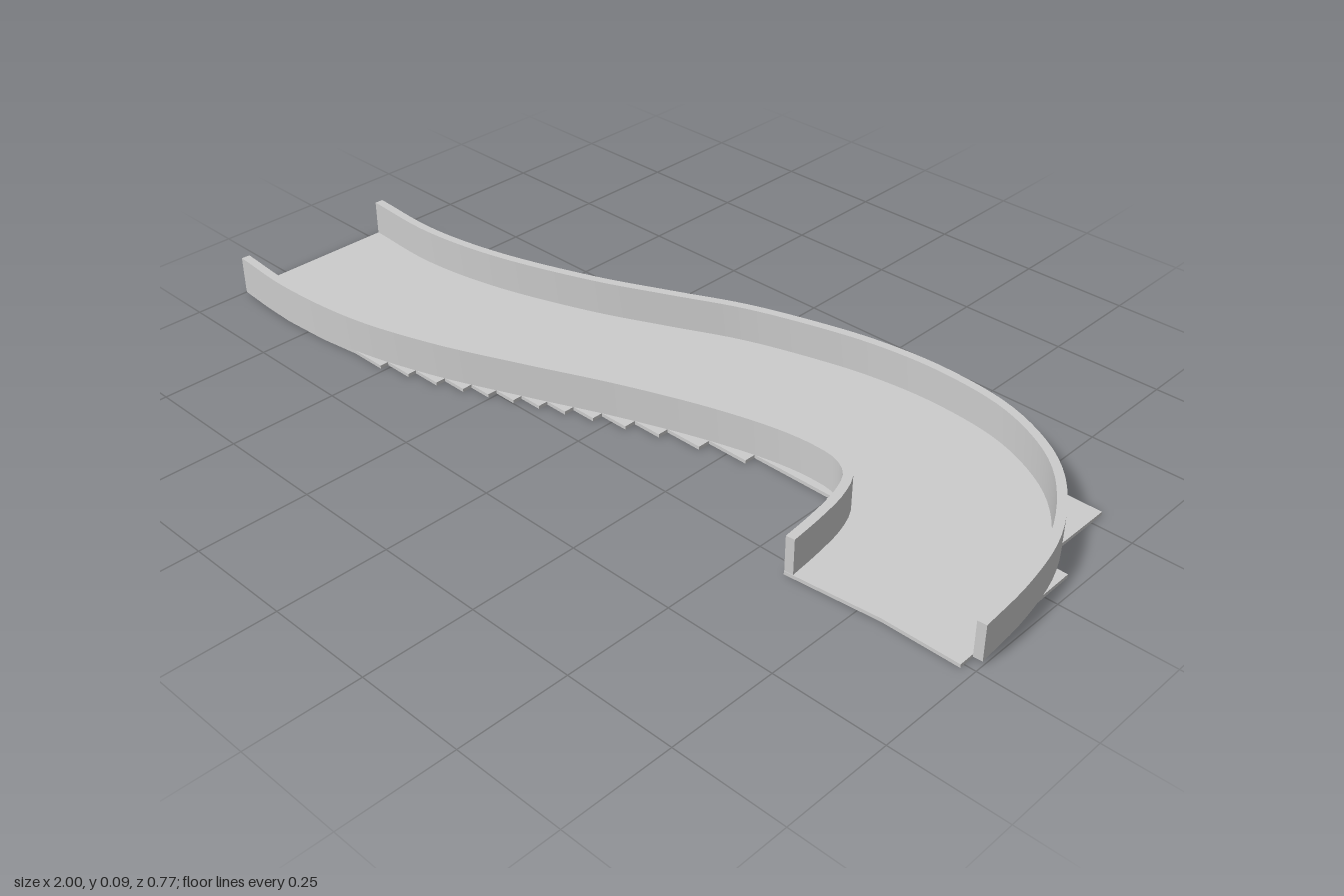
import * as THREE from 'three';
import { toCreasedNormals } from 'three/addons/utils/BufferGeometryUtils.js';

const FLOOR_TOP = 0.008, WALL_TOP = 0.09, HALF = 0.01;

// Centre lines of the two guard walls, as [x, z]
const BACK = [[-1, -0.03], [-0.8, -0.022], [-0.6, -0.052], [-0.35, -0.132], [-0.18, -0.207], [-0.02, -0.28],
  [0.15, -0.333], [0.28, -0.362], [0.44, -0.375], [0.62, -0.355], [0.75, -0.3], [0.83, -0.238],
  [0.9, -0.145], [0.947, -0.045], [0.976, 0.09], [0.988, 0.23]];
const FRONT = [[-1, 0.36], [-0.82, 0.37], [-0.6, 0.35], [-0.4, 0.295], [-0.2, 0.215], [0, 0.13],
  [0.2, 0.059], [0.35, 0.022], [0.44, 0.014], [0.5, 0.021], [0.545, 0.05], [0.572, 0.11], [0.587, 0.19], [0.597, 0.28]];

const smooth = (pts, n) =>
  new THREE.CatmullRomCurve3(pts.map(([x, z]) => new THREE.Vector3(x, 0, z))).getSpacedPoints(n);

// Shift a path sideways in the ground plane
function offset(path, d) {
  return path.map((p, i) => {
    const t = path[Math.min(i + 1, path.length - 1)].clone().sub(path[Math.max(i - 1, 0)]).normalize();
    return new THREE.Vector2(p.x - t.z * d, p.z + t.x * d);
  });
}

// Raise a plan outline (x, z) from one height to another
function raise(outline, y0, y1) {
  const shape = new THREE.Shape(outline.map(p => new THREE.Vector2(p.x, -p.y)));
  const geo = new THREE.ExtrudeGeometry(shape, { depth: y1 - y0, bevelEnabled: false });
  geo.rotateX(-Math.PI / 2).translate(0, y0, 0);
  return toCreasedNormals(geo, 0.5);
}

// Height of a plan edge at a given x
function zAt(edge, x) {
  for (let i = 1; i < edge.length; i++) {
    const a = edge[i - 1], b = edge[i];
    if (x <= b.x) return a.y + (b.y - a.y) * THREE.MathUtils.clamp((x - a.x) / (b.x - a.x), 0, 1);
  }
  return edge[edge.length - 1].y;
}

// Stepped edge through the x stops; pick chooses the outermost end of each step
function steps(edge, stops, pick) {
  const out = [];
  for (let i = 1; i < stops.length; i++) {
    const z = pick(zAt(edge, stops[i - 1]), zAt(edge, stops[i]));
    out.push(new THREE.Vector2(stops[i - 1], z), new THREE.Vector2(stops[i], z));
  }
  return out;
}

export function createModel() {
  const group = new THREE.Group();
  const material = new THREE.MeshStandardMaterial({ color: 0xcccccc });
  const add = (name, geo) => {
    const mesh = new THREE.Mesh(geo, material);
    mesh.name = name;
    group.add(mesh);
  };

  // Curved guard walls
  const back = smooth(BACK, 80), front = smooth(FRONT, 80);
  for (const [name, path] of [['backWall', back], ['frontWall', front]]) {
    const outline = [...offset(path, HALF), ...offset(path, -HALF).reverse()];
    add(name, raise(outline, FLOOR_TOP, WALL_TOP));
  }

  // Thin floor with stepped edges under the walls
  const v = (x, z) => new THREE.Vector2(x, z);
  const backStops = [-0.625, -0.51, -0.445, -0.35, -0.29, -0.235, -0.18, -0.125, -0.07, -0.015, 0.055, 0.15, 0.26, 0.44];
  const frontStops = [-0.6, -0.51, -0.44, -0.37, -0.31, -0.255, -0.2, -0.145, -0.09, -0.03, 0.04, 0.11, 0.2, 0.3];
  const backEdge = offset(back, -HALF), frontEdge = offset(front, HALF);
  const floor = [
    v(-1, -0.045), v(-0.625, -0.045),
    ...steps(backEdge, backStops, Math.min),
    v(0.62, -0.363), v(0.755, -0.36), v(0.755, -0.285), v(0.91, -0.285), v(0.91, -0.077), v(0.97, -0.077),
    v(0.975, 0.262), v(0.8, 0.262), v(0.587, 0.282),
    v(0.583, 0.13), v(0.56, 0.13), v(0.56, 0.055), v(0.5, 0.055), v(0.5, 0.042), v(0.3, 0.042),
    ...steps(frontEdge, frontStops, Math.max).reverse(),
    ...[-0.7, -0.82, -0.91, -1].map(x => v(x, zAt(frontEdge, x))),
  ];
  add('floor', raise(floor, 0, FLOOR_TOP));

  return group;
}
